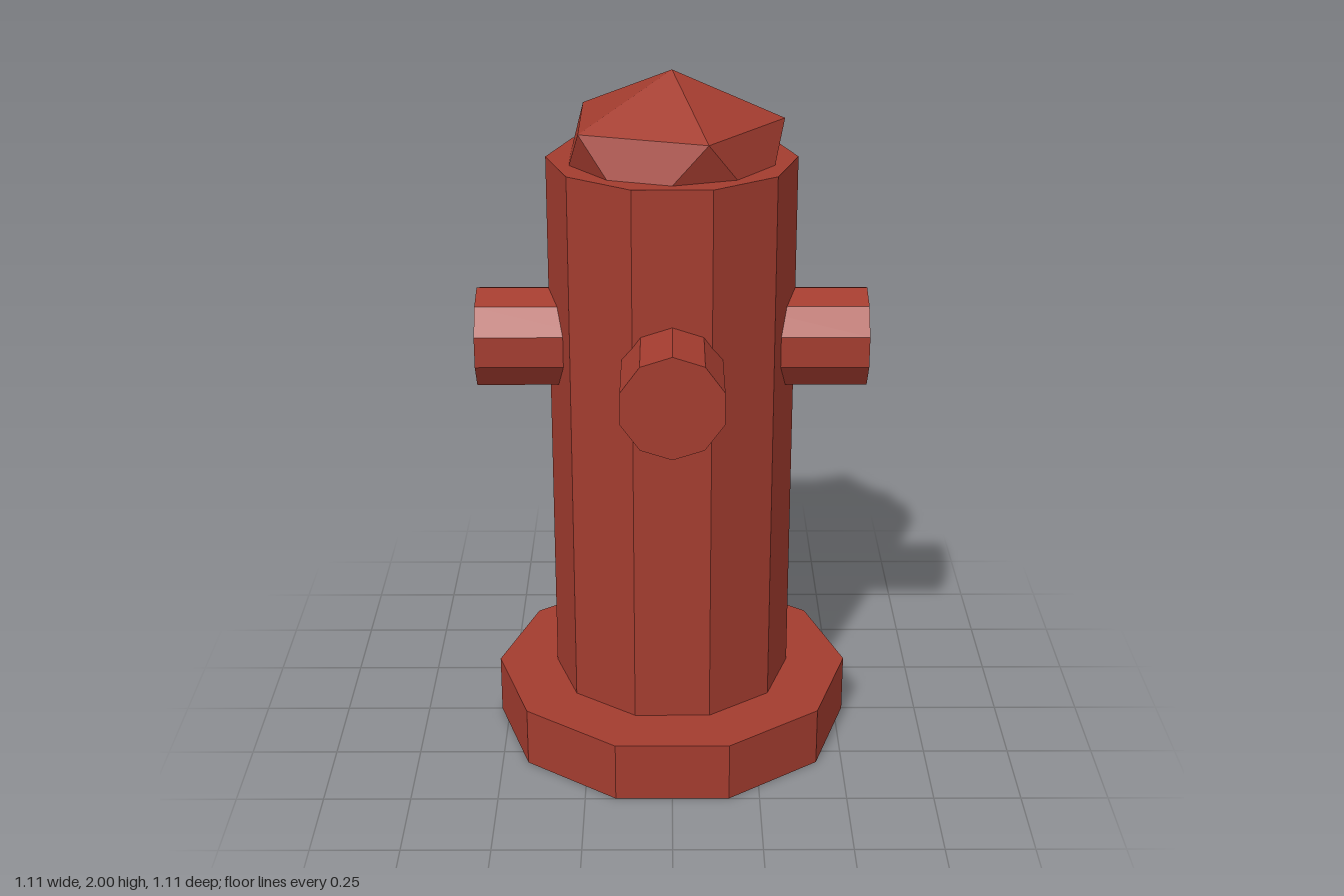
import * as THREE from 'three';

const SIDES = 10;

export function createModel() {
  const model = new THREE.Group();
  model.name = 'hydrant';
  const paint = new THREE.MeshStandardMaterial({ color: 0xa33c2f, flatShading: true });

  const add = (name, geometry) => {
    const mesh = new THREE.Mesh(geometry, paint);
    mesh.name = name;
    model.add(mesh);
    return mesh;
  };

  // Upright ten-sided prism with corners on the x axis
  const prism = (radius, bottom, top) =>
    new THREE.CylinderGeometry(radius, radius, top - bottom, SIDES)
      .rotateY(Math.PI / 2)
      .translate(0, (bottom + top) / 2, 0);

  // Base flange and barrel
  add('base', prism(0.525, 0, 0.175));
  add('barrel', prism(0.35, 0.1, 1.757));

  // Bonnet: squashed icosahedron standing on a corner, lower half sunk in the barrel
  const bonnet = new THREE.IcosahedronGeometry(0.347, 0);
  bonnet.rotateZ(-Math.atan(2 / (1 + Math.sqrt(5))));
  bonnet.scale(1, 0.7, 1).translate(0, 1.757, 0);
  bonnet.computeVertexNormals();
  add('bonnet', bonnet);

  // Four outlets, one per side, each with a corner pointing up
  const inner = 0.2, outer = 0.554;
  const outlet = new THREE.CylinderGeometry(0.145, 0.145, outer - inner, SIDES)
    .rotateX(Math.PI / 2)
    .translate(0, 1.23, (inner + outer) / 2);
  ['frontOutlet', 'leftOutlet', 'backOutlet', 'rightOutlet'].forEach((name, i) => {
    add(name, outlet).rotation.y = (i * Math.PI) / 2;
  });

  return model;
}
